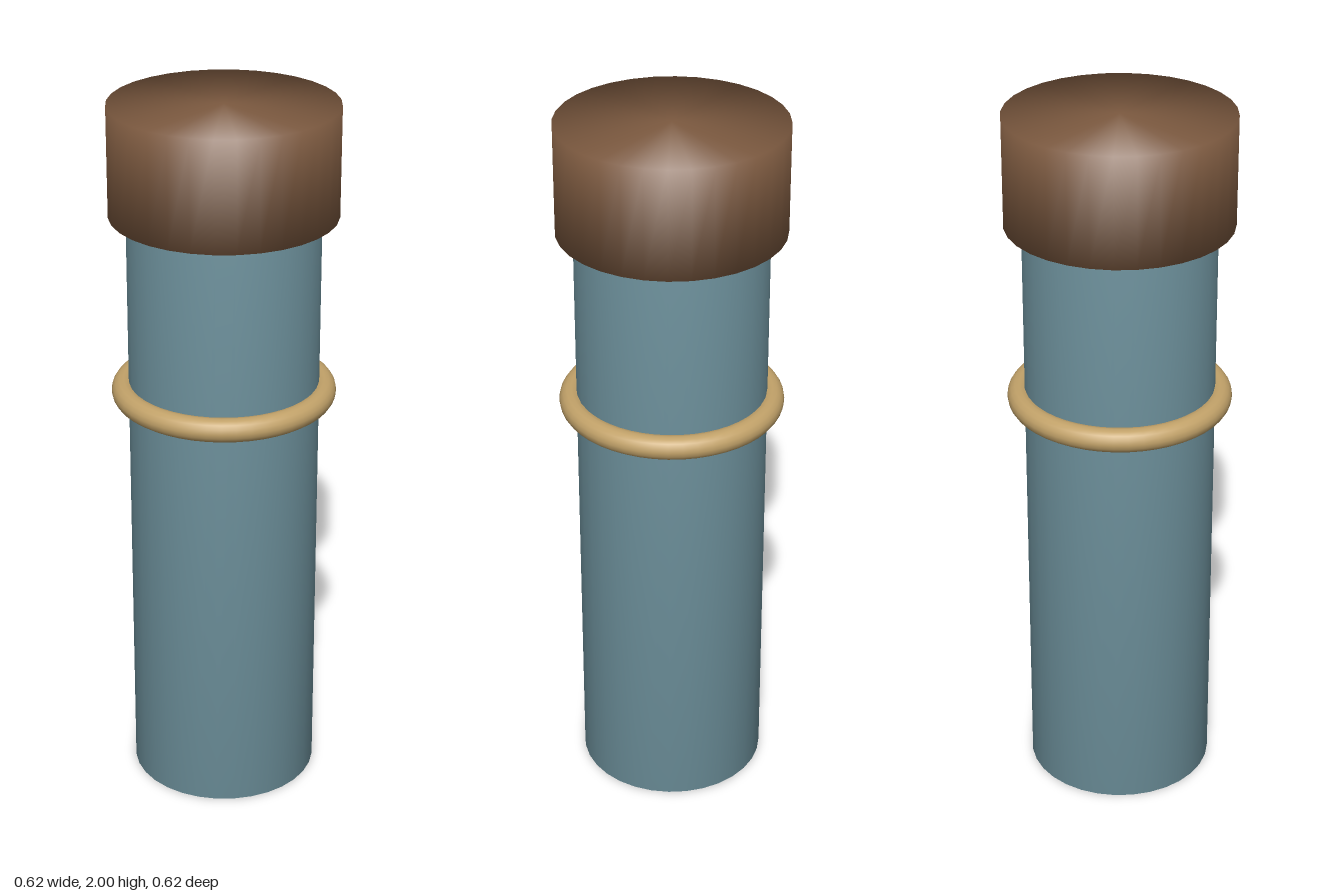
import * as THREE from 'three';
import { mergeVertices } from 'three/addons/utils/BufferGeometryUtils.js';

const SIDES = 32;

// Closed cylinder with shared rim vertices, so shading rolls softly over its edges
function softCylinder(radius, bottom, top) {
  let geo = new THREE.CylinderGeometry(radius, radius, top - bottom, SIDES);
  geo.deleteAttribute('normal');
  geo.deleteAttribute('uv');
  geo = mergeVertices(geo, 1e-4);
  geo.computeVertexNormals();
  geo.translate(0, (bottom + top) / 2, 0);
  return geo;
}

function material(name, color) {
  const m = new THREE.MeshStandardMaterial({ color });
  m.name = name;
  return m;
}

export function createModel() {
  const model = new THREE.Group();
  model.name = 'cappedTube';

  const add = (name, geo, mat) => {
    const mesh = new THREE.Mesh(geo, mat);
    mesh.name = name;
    model.add(mesh);
  };

  // Long body
  add('body', softCylinder(0.263, 0, 1.67), material('dustyBlue', 0x6b8e99));

  // Wider cap, hovering just above the body
  add('cap', softCylinder(0.31, 1.695, 2), material('brown', 0x7d5a40));

  // Ring around the upper body
  const ring = new THREE.TorusGeometry(0.277, 0.033, 16, 48);
  ring.rotateX(Math.PI / 2);
  ring.translate(0, 1.188, 0);
  add('ring', ring, material('brass', 0xc2a269));

  return model;
}
